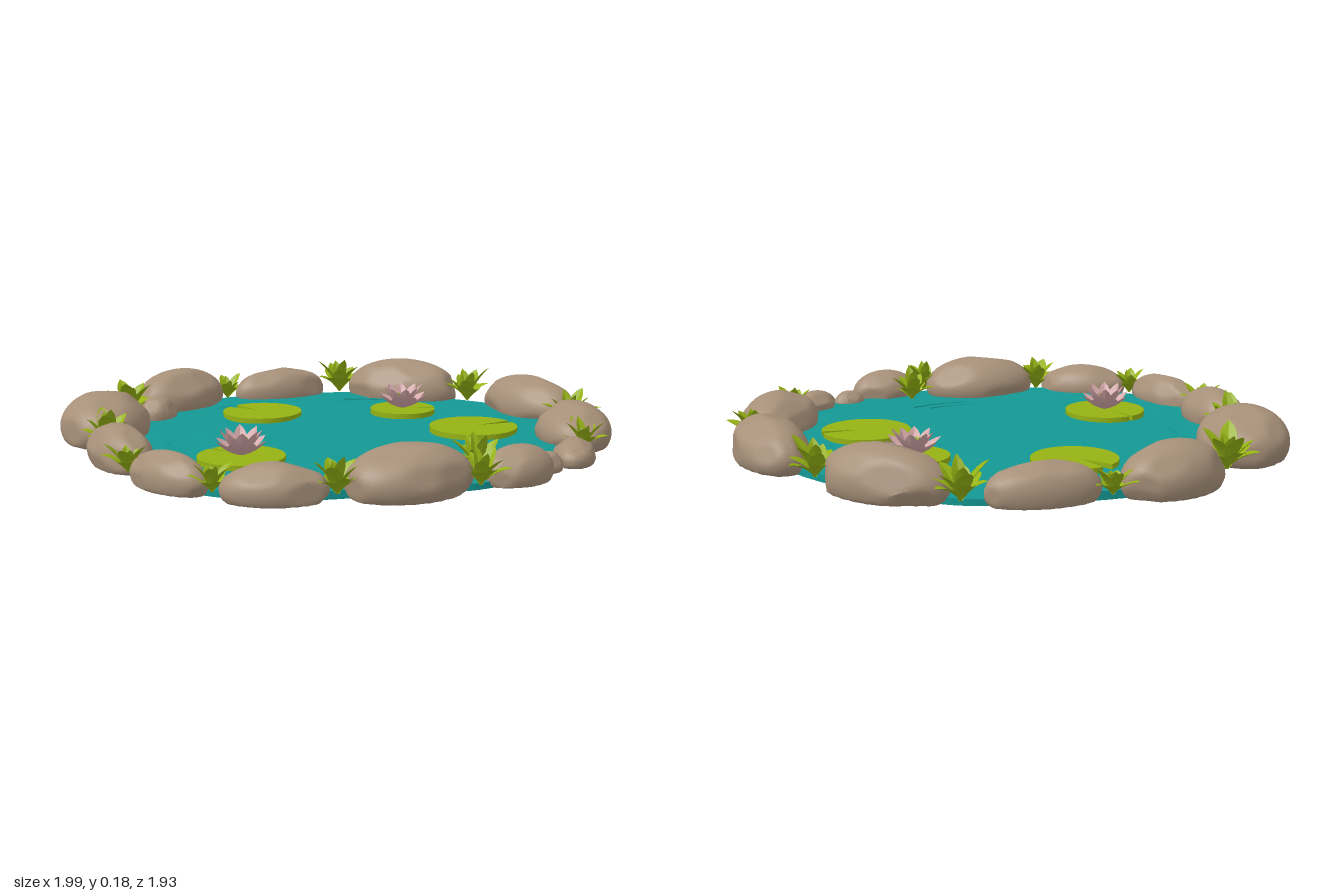
import * as THREE from 'three';
import { mergeGeometries, mergeVertices, toCreasedNormals } from 'three/addons/utils/BufferGeometryUtils.js';

const mat = (name, color, side = THREE.FrontSide) => {
  const m = new THREE.MeshStandardMaterial({ color, side });
  m.name = name;
  return m;
};
const rad = THREE.MathUtils.degToRad;

function seeded(seed) {
  let s = seed * 7919 + 17;
  return () => (s = (s * 16807) % 2147483647) / 2147483647;
}

// x, z, half length, half width, angle in plan (degrees), height
const ROCKS = [
  [-0.33, -0.83, 0.205, 0.125, -17, 0.175], [0.13, -0.82, 0.195, 0.085, 5, 0.145],
  [0.595, -0.57, 0.235, 0.125, 46, 0.18], [0.873, -0.03, 0.23, 0.123, 82, 0.17],
  [0.75, 0.42, 0.21, 0.138, -62, 0.155], [0.56, 0.68, 0.12, 0.075, -48, 0.09],
  [0.4, 0.735, 0.065, 0.052, -20, 0.07], [0.225, 0.81, 0.135, 0.09, -5, 0.13],
  [-0.18, 0.765, 0.225, 0.153, 2, 0.17], [-0.61, 0.64, 0.175, 0.1, 28, 0.13],
  [-0.85, 0.335, 0.17, 0.08, 70, 0.13], [-0.88, -0.05, 0.18, 0.1, 88, 0.15],
  [-0.775, -0.49, 0.225, 0.165, -64, 0.182], [-0.5, -0.65, 0.08, 0.065, -10, 0.11],
];

// x, z, radius
const PLANTS = [
  [-0.59, -0.72, 0.12], [-0.09, -0.88, 0.085], [0.4, -0.785, 0.115], [0.78, -0.35, 0.11],
  [0.885, 0.22, 0.105], [0.66, 0.6, 0.09], [0.14, 0.695, 0.1], [0.04, 0.86, 0.095],
  [-0.43, 0.735, 0.11], [-0.775, 0.52, 0.085], [-0.92, 0.14, 0.085], [-0.85, -0.25, 0.115],
];

// x, z, radius, notch angle in plan (degrees), notch half width (radians), has flower
const PADS = [
  [-0.12, -0.475, 0.157, -115, 0.16, false], [0.405, -0.255, 0.13, 25, 0.07, true],
  [0.47, 0.165, 0.168, 2, 0.09, false], [-0.515, 0.18, 0.157, -108, 0.05, true],
];

// radius, middle angle and span in plan (degrees)
const RIPPLES = [
  [0.52, 95, 36], [0.57, 84, 24], [0.68, 22, 18], [0.64, -57, 18], [0.7, -54, 16],
  [0.67, 188, 20], [0.6, 140, 18], [0.72, -98, 22],
];

// Rounded boulder: ellipsoid with a few softly planed faces and a flat bottom
function rockGeometry(a, b, h, seed) {
  const rnd = seeded(seed + 3);
  const planes = Array.from({ length: 12 }, () => [
    new THREE.Vector3(rnd() * 2 - 1, rnd() * 1.3 - 0.3, rnd() * 2 - 1).normalize(), 0.92 + rnd() * 0.07]);
  let g = new THREE.IcosahedronGeometry(1, 8);
  g.deleteAttribute('uv');
  g.deleteAttribute('normal');
  g = mergeVertices(g, 1e-4);
  const p = g.attributes.position, v = new THREE.Vector3(), cy = h * 0.32;
  for (let i = 0; i < p.count; i++) {
    v.fromBufferAttribute(p, i).normalize();
    let r = 1.025;
    for (const [n, d] of planes) {
      const c = v.dot(n);
      if (c > 0.5) r = Math.min(r, d / c);
    }
    v.multiplyScalar(r);
    p.setXYZ(i, v.x * a, Math.max(0.003, cy + v.y * (h - cy)), v.z * b);
  }
  return toCreasedNormals(g, 0.7);
}

// Oval blade that leaves the origin along +z, with a folded midrib
function bladeGeometry(len, width, startLift, endLift, fold) {
  const n = 7, pos = [], idx = [];
  let y = 0, z = 0;
  for (let i = 0; i <= n; i++) {
    const t = i / n, lift = startLift + (endLift - startLift) * t;
    const w = width * (0.2 * (1 - t) + Math.pow(Math.max(0, Math.sin(Math.PI * Math.pow(t, 1.3))), 0.8) * 0.95) / 2;
    for (const s of [-1, 0, 1]) {
      const k = s ? w * fold : 0;
      pos.push(s * w, y + k * Math.cos(lift), z - k * Math.sin(lift));
    }
    y += Math.sin(lift) * len / n;
    z += Math.cos(lift) * len / n;
    if (i < n) for (const k of [0, 1]) {
      const q = i * 3 + k;
      idx.push(q, q + 3, q + 1, q + 1, q + 3, q + 4);
    }
  }
  const g = new THREE.BufferGeometry();
  g.setAttribute('position', new THREE.Float32BufferAttribute(pos, 3));
  g.setIndex(idx);
  return toCreasedNormals(g, 0.5);
}

// Rings of blades: [count, length, width, start lift, end lift, fold]
function rosette(rings, rnd, jitter) {
  const blades = [];
  rings.forEach(([count, len, width, a, b, fold], r) => {
    for (let i = 0; i < count; i++) {
      const k = 1 + (rnd() - 0.5) * jitter, turn = (rnd() - 0.5) * jitter;
      blades.push(bladeGeometry(len * k, width, a + turn * 0.4, b + turn * 0.4, fold)
        .rotateY((i + r * 0.5) / count * Math.PI * 2 + turn));
    }
  });
  return mergeGeometries(blades);
}

// Closed curve running under the outer rocks and tufts
function shoreline() {
  const pts = [...ROCKS, ...PLANTS.map(([x, z]) => [x * 0.97, z * 0.97])]
    .filter(([x, z]) => Math.hypot(x, z) > 0.75 && x !== -0.5)
    .filter(([x, z]) => Math.hypot(x + 0.5, z + 0.65) > 0.1)
    .sort((p, q) => Math.atan2(p[1], p[0]) - Math.atan2(q[1], q[0]))
    .map(([x, z]) => new THREE.Vector3(x, 0, z));
  return new THREE.CatmullRomCurve3(pts, true).getPoints(120).slice(0, 120);
}

// Gently rippled sheet with its rim turned down to the ground
function waterGeometry(shore) {
  const rings = 26, n = shore.length, pos = [], idx = [];
  for (let i = 0; i <= rings; i++) for (let j = 0; j < n; j++) {
    const k = Math.min(1, i / (rings - 1)), x = shore[j].x * k, z = shore[j].z * k;
    const wave = 0.003 * Math.sin(x * 9 + 2 * Math.sin(z * 6)) * Math.cos(z * 8 - x * 3)
      + 0.002 * Math.sin(k * 34 + 1.5 * Math.sin(j / n * Math.PI * 10)) * k * k;
    pos.push(x, i === rings ? 0.001 : 0.027 + wave, z);
    if (i < rings) {
      const a = i * n + j, b = i * n + (j + 1) % n;
      idx.push(a, b, a + n, b, b + n, a + n);
    }
  }
  const g = new THREE.BufferGeometry();
  g.setAttribute('position', new THREE.Float32BufferAttribute(pos, 3));
  g.setIndex(idx);
  return toCreasedNormals(g, 0.8);
}

// Round floating pad with a narrow wedge cut out
function padGeometry(r, notch, gap) {
  const s = new THREE.Shape(), a = rad(notch);
  s.moveTo(r * 0.15 * Math.cos(a), r * 0.15 * Math.sin(a));
  s.lineTo(r * Math.cos(a + gap), r * Math.sin(a + gap));
  s.absarc(0, 0, r, a + gap, a + Math.PI * 2 - gap, false);
  s.closePath();
  return new THREE.ExtrudeGeometry(s, { depth: 0.022, bevelEnabled: false, curveSegments: 40 })
    .rotateX(Math.PI / 2).translate(0, 0.046, 0);
}

export function createModel() {
  const stone = mat('stone', 0xa79079);
  const water = mat('water', 0x149894);
  const leaf = mat('leaf green', 0x95b214, THREE.DoubleSide);
  const petal = mat('petal pink', 0xd3a6a8, THREE.DoubleSide);
  const bed = mat('pond bed', 0x5a7a73);

  const model = new THREE.Group();
  model.name = 'gardenPond';
  const add = (parent, name, geometry, material, x = 0, y = 0, z = 0) => {
    const m = new THREE.Mesh(geometry, material);
    m.name = name;
    m.position.set(x, y, z);
    parent.add(m);
  };

  // Water, the bed under it and low ripple crests
  const shore = shoreline();
  add(model, 'waterSurface', waterGeometry(shore), water);
  const outline = new THREE.Shape(shore.map(p => new THREE.Vector2(p.x, p.z)));
  add(model, 'pondBed', new THREE.ShapeGeometry(outline).rotateX(Math.PI / 2), bed);
  RIPPLES.forEach(([r, mid, span], i) => {
    const arc = new THREE.TorusGeometry(r, 0.008, 6, 24, rad(span))
      .rotateZ(rad(mid - span / 2)).rotateX(Math.PI / 2).scale(1, 0.5, 1);
    add(model, 'ripple' + (i + 1), arc, water, 0, 0.0265, 0);
  });

  // Ring of boulders, each on a flat dark footing
  ROCKS.forEach(([x, z, a, b, deg, h], i) => {
    const rock = new THREE.Group();
    rock.name = 'rock' + (i + 1);
    rock.position.set(x, 0, z);
    rock.rotation.y = -rad(deg);
    add(rock, 'boulder', rockGeometry(a, b, h, i), stone);
    add(rock, 'footing', new THREE.CircleGeometry(1, 40).rotateX(Math.PI / 2).scale(a * 0.93, 1, b * 0.93), bed);
    model.add(rock);
  });

  // Leafy tufts between the rocks
  PLANTS.forEach(([x, z, r], i) => {
    const rings = [
      [6, r * 1.15, r * 0.5, 0.9, 0.15, 0.25],
      [5, r * 1.3, r * 0.5, 1.1, 0.7, 0.3],
      [2, r * 1.2, r * 0.42, 1.35, 1.1, 0.35],
    ];
    add(model, 'leafTuft' + (i + 1), rosette(rings, seeded(i + 40), 0.4), leaf, x, 0.025, z);
  });

  // Lily pads, two of them carrying a flower
  PADS.forEach(([x, z, r, notch, gap, flower], i) => {
    add(model, 'lilyPad' + (i + 1), padGeometry(r, notch, gap), leaf, x, 0, z);
    if (!flower) return;
    const lily = new THREE.Group();
    lily.name = 'waterLily';
    lily.position.set(x, 0.046, z);
    const rings = [
      [8, 0.118, 0.052, 0.25, 0.95, 0.4],
      [8, 0.12, 0.046, 0.65, 1.2, 0.4],
    ];
    add(lily, 'petals', rosette(rings, seeded(i + 90), 0.12), petal);
    add(lily, 'flowerHeart', new THREE.SphereGeometry(0.03, 16, 10).scale(1, 0.8, 1), leaf, 0, 0.03, 0);
    add(lily, 'stamens', rosette([[9, 0.05, 0.018, 0.9, 1.3, 0.3]], seeded(i + 70), 0.2), leaf, 0, 0.02, 0);
    model.add(lily);
  });

  return model;
}
